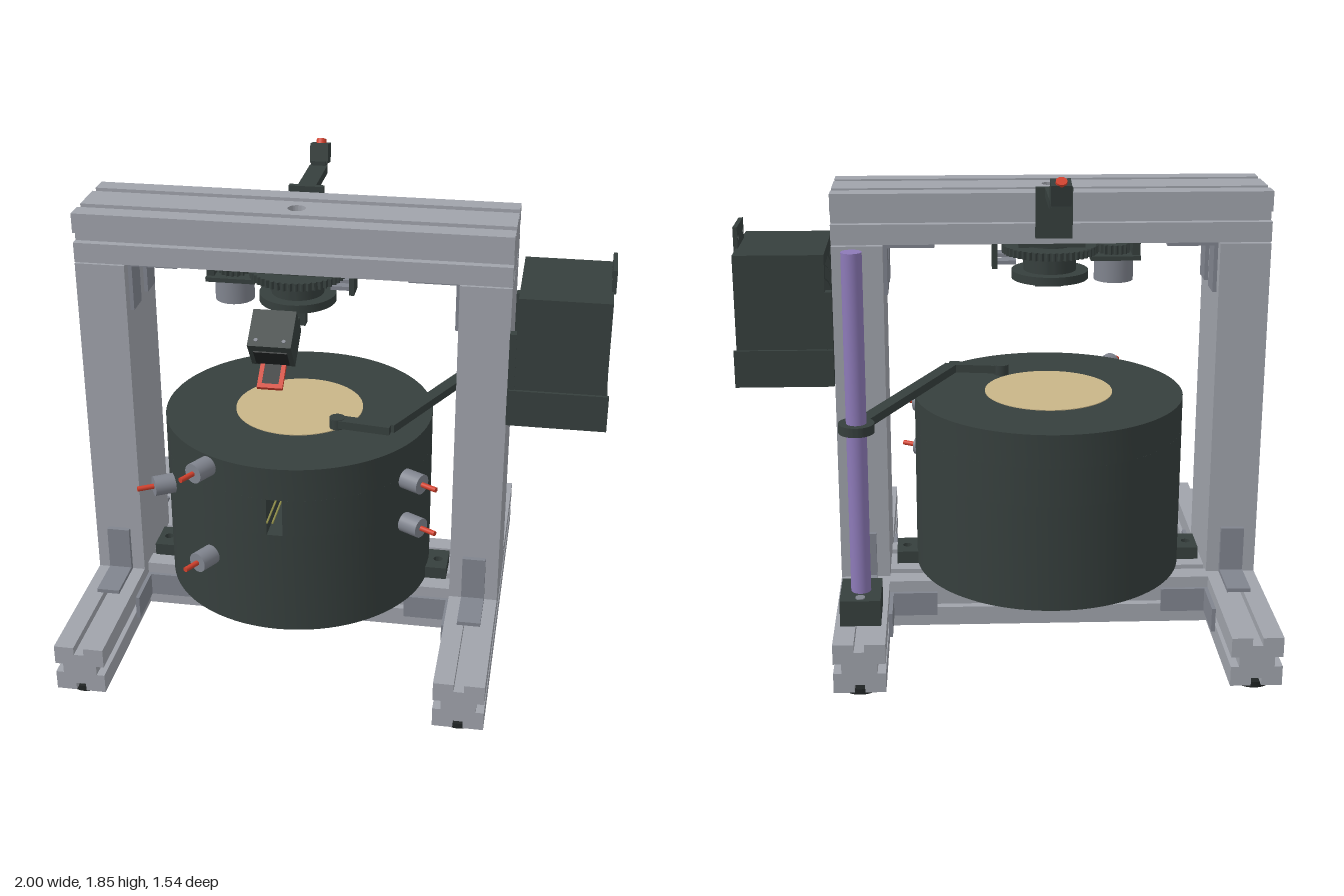
import * as THREE from 'three';
import { toCreasedNormals } from 'three/addons/utils/BufferGeometryUtils.js';

const material = (name, color, side = THREE.FrontSide) => {
  const m = new THREE.MeshStandardMaterial({ color, side });
  m.name = name;
  return m;
};

export function createModel() {
  const model = new THREE.Group();
  model.name = 'testRig';
  const alu = material('aluminium', 0xa0a3ab);
  const steel = material('bracketGrey', 0x80848e);
  const dark = material('darkPlastic', 0x363f3d);
  const black = material('blackRubber', 0x202424);
  const cream = material('creamCore', 0xc9b588);
  const purple = material('purplePole', 0x8d7ab8);
  const red = material('red', 0xd0402c);
  const olive = material('oliveWire', 0x8c8a48);
  const CX = -0.19; // axis of the drum and the rotor

  const add = (name, geo, mat, parent = model) => {
    const m = new THREE.Mesh(geo, mat);
    m.name = name;
    parent.add(m);
    return m;
  };
  // Box given by its limits
  const box = (name, mat, x0, x1, y0, y1, z0, z1, parent = model) => {
    const m = add(name, new THREE.BoxGeometry(x1 - x0, y1 - y0, z1 - z0), mat, parent);
    m.position.set((x0 + x1) / 2, (y0 + y1) / 2, (z0 + z1) / 2);
    return m;
  };
  // Upright cylinder between two heights
  const cyl = (name, mat, r, x, y0, y1, z, parent = model, sides = 40) => {
    const m = add(name, new THREE.CylinderGeometry(r, r, y1 - y0, sides), mat, parent);
    m.position.set(x, (y0 + y1) / 2, z);
    return m;
  };
  const extrude = (shape, depth, curveSegments = 24) =>
    new THREE.ExtrudeGeometry(shape, { depth, bevelEnabled: false, curveSegments });
  // Flat shape lifted upwards; shape y becomes -z
  const slab = (name, mat, shape, x, y0, y1, z, segs = 32) => {
    const g = toCreasedNormals(extrude(shape, y1 - y0, segs).rotateX(-Math.PI / 2), 0.5);
    const m = add(name, g, mat);
    m.position.set(x, y0, z);
    return m;
  };
  const circleHole = (shape, x, y, r) => shape.holes.push(new THREE.Path().absarc(x, y, r, 0, Math.PI * 2, true));
  const rect = (C, x0, x1, y0, y1) =>
    new C([[x0, y0], [x1, y0], [x1, y1], [x0, y1]].map(p => new THREE.Vector2(...p)));
  const ring = (R, r) => {
    const s = new THREE.Shape().absarc(0, 0, R, 0, Math.PI * 2);
    circleHole(s, 0, 0, r);
    return s;
  };

  // Slotted profile section, height 0.19
  const profile = (x0, x1, slots, left = true, right = true) => {
    const w = 0.019, d = 0.03, h = 0.095, p = [[x0, -h]];
    slots.forEach(s => p.push([s - w, -h], [s - w, d - h], [s + w, d - h], [s + w, -h]));
    p.push([x1, -h]);
    if (right) p.push([x1, -w], [x1 - d, -w], [x1 - d, w], [x1, w]);
    p.push([x1, h]);
    [...slots].reverse().forEach(s => p.push([s + w, h], [s + w, h - d], [s - w, h - d], [s - w, h]));
    p.push([x0, h]);
    if (left) p.push([x0, w], [x0 + d, w], [x0 + d, -w], [x0, -w]);
    return new THREE.Shape(p.map(q => new THREE.Vector2(...q)));
  };

  // Frame: two floor rails with feet, two posts, corner brackets
  for (const s of [-1, 1]) {
    const rx = -0.185 + s * 0.72;
    add('floorRail', extrude(profile(-0.095, 0.095, [0]), 1.54), alu).position.set(rx, 0.115, -0.77);
    box('post', alu, rx - 0.095, rx + 0.095, 0.21, 1.535, -0.19, 0.19);
    const inner = rx - s * 0.095;
    const span = (a, b) => [Math.min(a, b), Math.max(a, b)];
    for (const t of [-1, 1]) {
      cyl('foot', black, 0.07, rx, 0, 0.022, t * 0.68);
      // post to floor rail
      box('postBracket', steel, rx - 0.045, rx + 0.045, 0.21, 0.225, ...span(t * 0.19, t * 0.385));
      box('postBracket', steel, rx - 0.045, rx + 0.045, 0.21, 0.4, ...span(t * 0.19, t * 0.21));
      // cross beam to floor rail
      const zb = t > 0 ? 0.14 : -0.24;
      box('crossBracket', steel, ...span(inner, inner - s * 0.185), 0.07, 0.165, ...span(zb, zb + t * 0.015));
      box('crossBracket', steel, ...span(inner, inner - s * 0.015), 0.07, 0.165, ...span(zb, zb + t * 0.195));
      // post to top beam
      box('topBracket', steel, ...span(inner, inner - s * 0.19), 1.518, 1.535, t * 0.095 - 0.05, t * 0.095 + 0.05);
      box('topBracket', steel, ...span(inner, inner - s * 0.015), 1.34, 1.535, t * 0.095 - 0.05, t * 0.095 + 0.05);
    }
  }
  const cross = add('crossBeam', extrude(profile(-0.19, 0.19, [-0.095, 0.095]), 1.25), alu);
  cross.rotation.y = Math.PI / 2;
  cross.position.set(-0.81, 0.115, -0.05);

  // Top beam: slotted flanks around a bored middle
  [profile(0.05, 0.19, [0.095], false, true), profile(-0.19, -0.05, [-0.095], true, false)].forEach(p => {
    const m = add('topBeam', extrude(p, 1.63), alu);
    m.rotation.y = Math.PI / 2;
    m.position.set(-1, 1.635, 0);
  });
  const middle = rect(THREE.Shape, -1, 0.63, -0.05, 0.05);
  circleHole(middle, CX, 0, 0.034);
  slab('topBeamMiddle', alu, middle, 0, 1.54, 1.73, 0);

  // Drum with a slot in the front, and its core
  const R = 0.525, r = 0.25, g = 0.03;
  const gapped = new THREE.Shape();
  gapped.absarc(0, 0, R, -Math.PI / 2 + g / R, 1.5 * Math.PI - g / R, false);
  gapped.absarc(0, 0, r, 1.5 * Math.PI - g / r, -Math.PI / 2 + g / r, true);
  slab('drumLower', dark, ring(R, r), CX, 0.212, 0.63, 0, 48);
  slab('drumMiddle', dark, gapped, CX, 0.63, 0.78, 0, 96);
  slab('drumUpper', dark, ring(R, r), CX, 0.78, 0.91, 0, 48);
  cyl('core', cream, r, CX, 0.214, 0.913, 0, model, 64);
  for (const s of [-1, 1]) {
    const tab = rect(THREE.Shape, -0.06, 0.06, -0.07, 0.07);
    circleHole(tab, s * 0.02, 0, 0.018);
    slab('drumTab', dark, tab, CX + s * 0.545, 0.21, 0.26, 0);
  }
  for (const x of [-0.185, -0.165]) box('wire', olive, x - 0.003, x + 0.003, 0.768, 0.774, 0.25, 0.67);

  // Sensors around the drum: [angle from +x towards +z in degrees, height]
  for (const [deg, y] of [[30, 0.77], [30, 0.58], [150, 0.67], [120, 0.865], [120, 0.48]]) {
    const sensor = new THREE.Group();
    sensor.name = 'sensor';
    sensor.position.set(CX, y, 0);
    sensor.rotation.y = -deg * Math.PI / 180;
    model.add(sensor);
    for (const [name, mat, rad, a, b] of [['sensorBody', steel, 0.039, 0.5, 0.605], ['sensorTip', red, 0.01, 0.6, 0.67]]) {
      const m = add(name, new THREE.CylinderGeometry(rad, rad, b - a, 28), mat, sensor);
      m.rotation.z = -Math.PI / 2;
      m.position.x = (a + b) / 2;
    }
  }

  // Pole with its base, clamp ring and cranked arm
  const PX = 0.535, PZ = -0.52;
  box('poleBase', dark, 0.46, 0.61, 0.21, 0.31, -0.62, -0.42);
  for (const s of [-1, 1]) cyl('poleBaseScrew', steel, 0.018, PX, 0.3, 0.314, PZ + s * 0.072, model, 20);
  cyl('pole', purple, 0.037, PX, 0.29, 1.59, PZ);
  slab('poleClamp', dark, ring(0.065, 0.036), PX, 0.93, 0.965, PZ);
  const bar = (x0, z0, x1, z1) => {
    const m = add('arm', new THREE.BoxGeometry(Math.hypot(x1 - x0, z1 - z0), 0.032, 0.05), dark);
    m.position.set((x0 + x1) / 2, 0.948, (z0 + z1) / 2);
    m.rotation.y = -Math.atan2(z1 - z0, x1 - x0);
  };
  bar(PX - 0.02, PZ + 0.045, 0.19, 0.2);
  bar(0.2, 0.21, -0.03, 0.18);
  cyl('armTip', dark, 0.03, -0.01, 0.925, 0.966, 0.18, model, 24);

  // Electronics housing, open to the side, with a vented inner wall
  const wall = rect(THREE.Shape, -0.215, 0.215, 1.02, 1.51);
  for (let i = 0; i < 8; i++) {
    const z = (i - 3.5) * 0.0455;
    wall.holes.push(rect(THREE.Path, z - 0.01, z + 0.01, 1.09, 1.46));
  }
  const vent = add('ventWall', extrude(wall, 0.02), dark);
  vent.rotation.y = Math.PI / 2;
  vent.position.x = 0.655;
  box('housingTop', dark, 0.655, 0.99, 1.49, 1.51, -0.215, 0.215);
  box('housingFloor', dark, 0.655, 0.99, 1.02, 1.04, -0.215, 0.215);
  for (const s of [-1, 1]) {
    box('housingSide', dark, 0.655, 0.99, 1.02, 1.51, s * 0.205 - 0.01, s * 0.205 + 0.01);
    box('holderSide', dark, 0.63, 1, 1.01, 1.15, s * 0.22 - 0.007, s * 0.22 + 0.007);
    box('holderStrip', dark, 0.63, 0.655, 1.01, 1.37, s * 0.2 - 0.018, s * 0.2 + 0.018);
  }
  box('holderFloor', dark, 0.63, 1, 1.008, 1.022, -0.227, 0.227);
  box('holderLip', dark, 0.985, 1, 1.01, 1.05, -0.227, 0.227);
  const tab = rect(THREE.Shape, -0.095, 0.095, 1.5, 1.59);
  for (const s of [-1, 1]) circleHole(tab, s * 0.065, 1.55, 0.013);
  const tabMesh = add('housingTab', extrude(tab, 0.016), dark);
  tabMesh.rotation.y = Math.PI / 2;
  tabMesh.position.x = 0.982;

  // Rotor under the beam: plate, toothed wheel, hub, bearing
  const gear = (R, n, bore) => {
    const p = [];
    for (let i = 0; i < n * 4; i++) {
      const a = i / (n * 4) * Math.PI * 2, q = R - (i % 4 < 2 ? 0 : 0.009);
      p.push(new THREE.Vector2(q * Math.cos(a), q * Math.sin(a)));
    }
    const s = new THREE.Shape(p);
    circleHole(s, 0, 0, bore);
    return s;
  };
  const plate = rect(THREE.Shape, -0.125, 0.125, -0.12, 0.12);
  circleHole(plate, 0, 0, 0.036);
  slab('rotorPlate', dark, plate, CX, 1.51, 1.538, 0);
  slab('rotorWheel', dark, gear(0.185, 48, 0.036), CX, 1.47, 1.5, 0);
  slab('rotorHub', dark, ring(0.1, 0.036), CX, 1.4, 1.51, 0);
  slab('rotorDisc', dark, ring(0.147, 0.036), CX, 1.368, 1.4, 0);
  slab('rotorBearing', steel, ring(0.06, 0.036), CX, 1.36, 1.37, 0);
  slab('rotorFlange', black, ring(0.095, 0.06), CX, 1.355, 1.37, 0);

  // Drive motor and position sensor beside the rotor
  cyl('motor', steel, 0.075, -0.435, 1.36, 1.45, 0);
  slab('motorGear', dark, gear(0.06, 16, 0.01), -0.435, 1.465, 1.5, 0);
  box('motorPlate', dark, -0.53, -0.34, 1.448, 1.465, -0.08, 0.08);
  box('motorLeg', dark, -0.53, -0.5, 1.45, 1.535, -0.06, 0.06);
  box('motorMount', dark, -0.57, -0.46, 1.515, 1.538, -0.06, 0.06);
  box('sensorMount', dark, -0.04, 0.08, 1.515, 1.538, -0.05, 0.05);
  box('sensorLeg', dark, 0.012, 0.032, 1.41, 1.535, -0.04, 0.04);
  box('gapSensor', steel, -0.06, 0.012, 1.425, 1.44, -0.03, 0.03);
  box('gapSensor', steel, -0.06, 0.012, 1.455, 1.468, -0.03, 0.03);

  // Front scanner on a cranked arm
  box('scannerArm', dark, CX - 0.03, CX + 0.03, 1.31, 1.345, 0.1, 0.36);
  box('scannerArmFoot', dark, CX - 0.05, CX + 0.05, 1.31, 1.37, 0.08, 0.12);
  box('scannerUpright', dark, CX - 0.03, CX + 0.03, 1.31, 1.42, 0.335, 0.36);
  const scanner = new THREE.Group();
  scanner.name = 'scanner';
  scanner.position.set(CX, 1.4, 0.447);
  scanner.rotation.x = 0.64;
  model.add(scanner);
  box('scannerBody', dark, -0.078, 0.078, -0.065, 0.065, -0.075, 0.075, scanner);
  box('scannerLabel', cream, -0.055, 0.055, 0.012, 0.04, -0.079, -0.074, scanner);
  box('scannerFace', black, -0.06, 0.06, -0.05, 0.03, 0.074, 0.08, scanner);
  box('scannerFlap', black, -0.032, 0.032, -0.068, -0.058, 0.075, 0.16, scanner);
  for (const s of [-1, 1]) {
    box('flapEdge', red, s * 0.038 - 0.008, s * 0.038 + 0.008, -0.071, -0.056, 0.075, 0.17, scanner);
    cyl('scannerScrew', steel, 0.007, s * 0.05, 0.064, 0.068, 0.05, scanner, 12);
  }
  box('flapEdge', red, -0.046, 0.046, -0.071, -0.056, 0.155, 0.172, scanner);

  // Rear sensor on its arm
  box('rearPlate', dark, CX - 0.068, CX + 0.068, 1.565, 1.753, -0.213, -0.19);
  box('rearArm', dark, CX - 0.035, CX + 0.035, 1.72, 1.753, -0.465, -0.2);
  box('rearArmEnd', dark, CX - 0.03, CX + 0.03, 1.735, 1.77, -0.5, -0.455);
  const rear = new THREE.Group();
  rear.name = 'rearSensor';
  rear.position.set(CX, 1.79, -0.507);
  rear.rotation.x = -0.2;
  model.add(rear);
  box('rearSensorBody', dark, -0.036, 0.036, -0.038, 0.038, -0.035, 0.035, rear);
  const lens = cyl('rearSensorLens', red, 0.02, 0, -0.055, 0.055, 0, rear, 24);
  lens.rotation.x = -0.4;
  return model;
}
